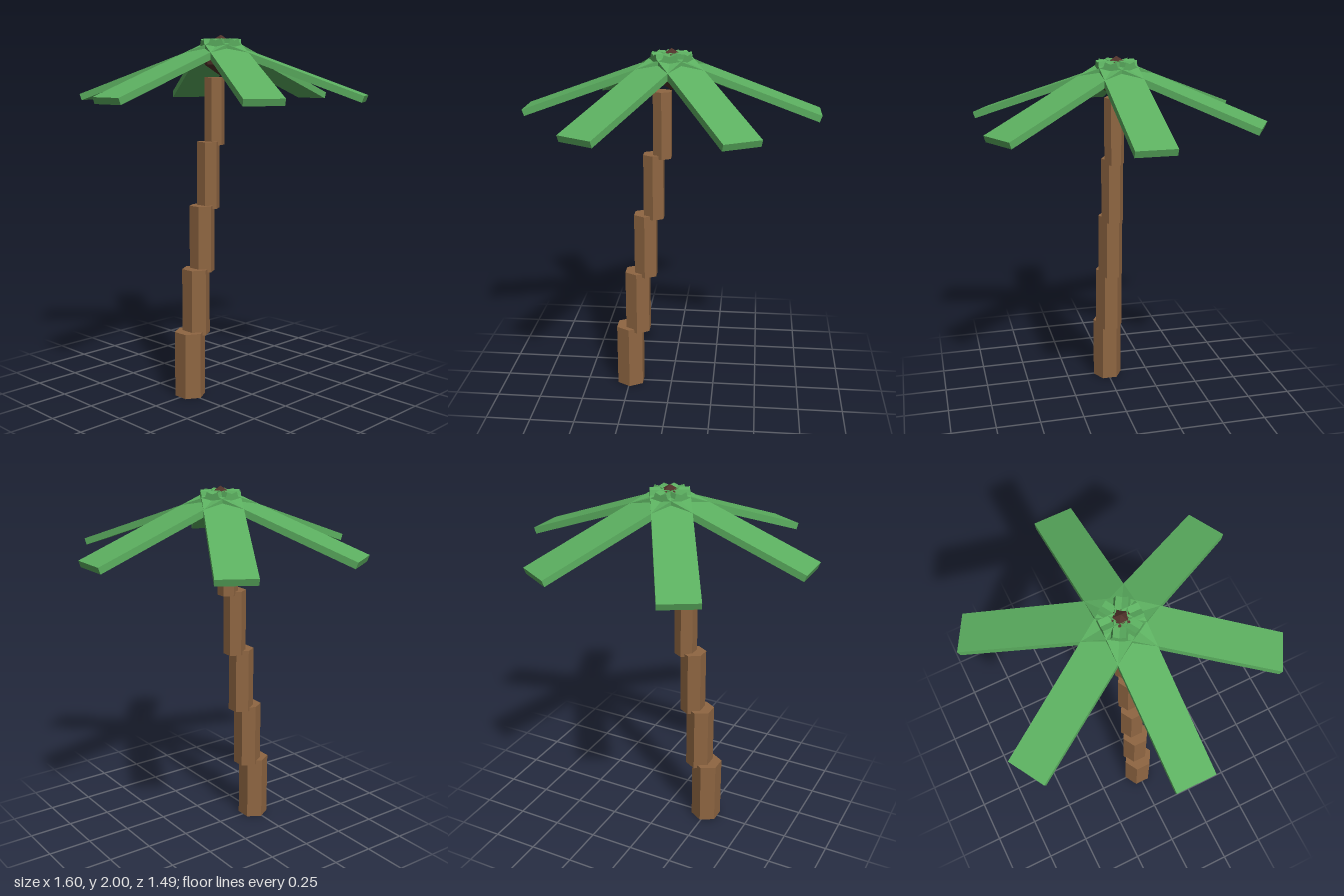
import * as THREE from 'three';

const mat = (name, color) => {
  const m = new THREE.MeshStandardMaterial({ color });
  m.name = name;
  m.flatShading = true;
  return m;
};

export function createModel() {
  const bark = mat('bark brown', 0x8f6642);
  const green = mat('leaf green', 0x5cb060);
  const husk = mat('husk brown', 0x50322a);

  const palm = new THREE.Group();
  palm.name = 'palmTree';
  const add = (parent, name, geometry, material) => {
    const mesh = new THREE.Mesh(geometry, material);
    mesh.name = name;
    parent.add(mesh);
    return mesh;
  };

  // Trunk: overlapping hexagonal segments, thinner and further over each step
  const trunk = new THREE.Group();
  trunk.name = 'trunk';
  palm.add(trunk);
  for (let i = 0; i < 5; i++) {
    const r = 0.086 - i * 0.0074;
    const segment = add(trunk, `trunkSegment${i + 1}`, new THREE.CylinderGeometry(r, r, 0.37, 6), bark);
    segment.position.set(-0.244 + i * 0.0485, 0.185 + i * 0.35, 0);
  }

  // Crown: faceted ball standing on one of its corners
  const ball = new THREE.IcosahedronGeometry(0.112, 0);
  ball.rotateX(-Math.atan((1 + Math.sqrt(5)) / 2));
  ball.rotateY(Math.PI / 2);
  add(palm, 'crown', ball, husk).position.y = 1.888;

  // Fronds: six drooping slabs around the crown
  const frond = new THREE.BoxGeometry(0.885, 0.037, 0.21);
  frond.rotateZ(THREE.MathUtils.degToRad(-20));
  frond.translate(0.379, 1.809, 0);
  const fronds = new THREE.Group();
  fronds.name = 'fronds';
  palm.add(fronds);
  for (let i = 0; i < 6; i++) {
    add(fronds, `frond${i + 1}`, frond, green).rotation.y = (i * Math.PI) / 3;
  }

  return palm;
}
